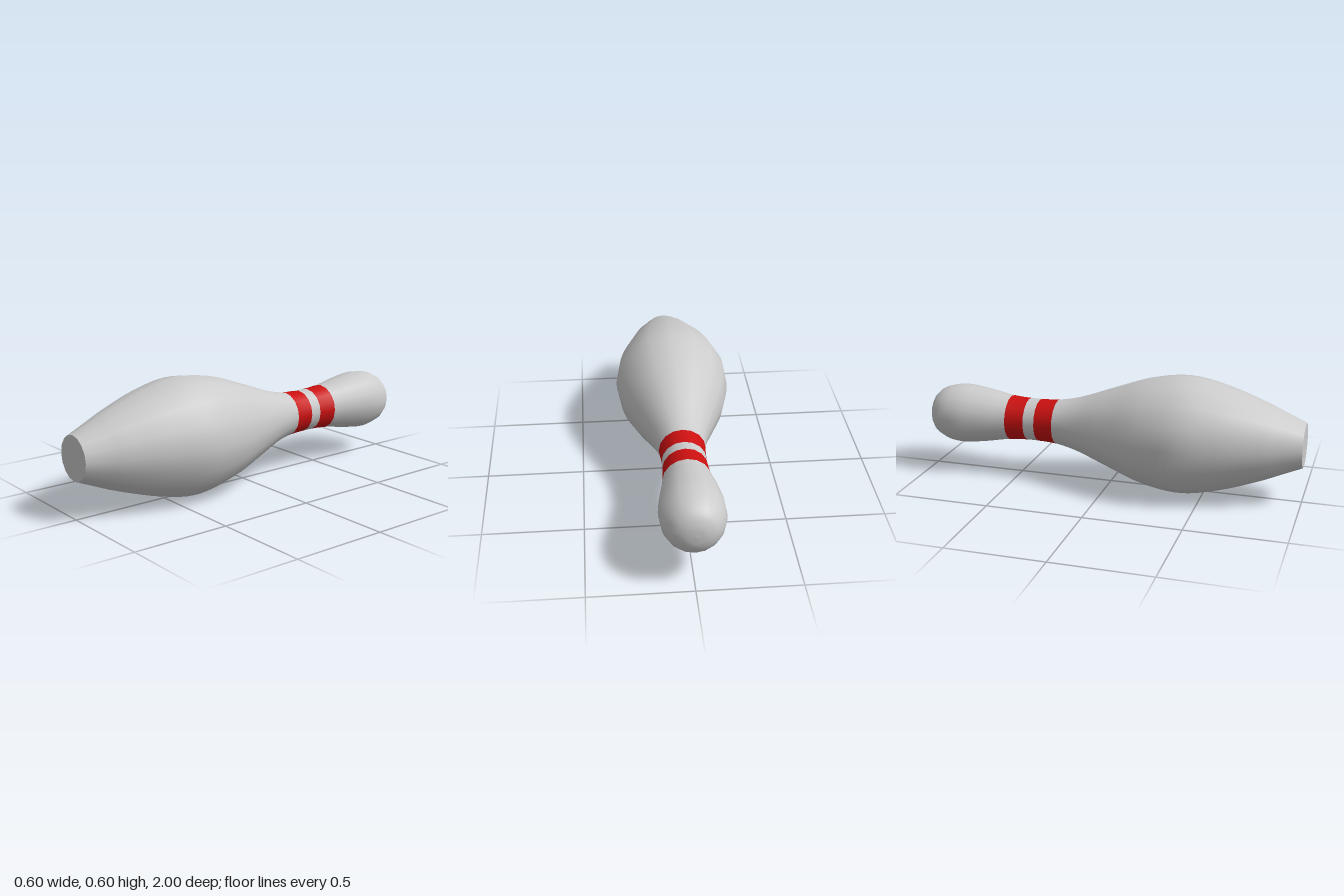
import * as THREE from 'three';

const SIDES = 16;
const RADIUS = 0.302;

// Profile knots: radius, distance along the axis from base (-1) to head (1)
const KNOTS = [
  [0.113, -1], [0.155, -0.9], [0.197, -0.8], [0.265, -0.6], [0.302, -0.4],
  [0.276, -0.2], [0.207, 0], [0.141, 0.18], [0.117, 0.29],
  [0.111, 0.39], [0.111, 0.45], [0.118, 0.55],
  [0.143, 0.69], [0.157, 0.82], [0.142, 0.91], [0.105, 0.967], [0.055, 0.993], [0, 1],
];

// Sections of the profile by knot index, with their colour
const SECTIONS = [
  ['body', 0, 8, 0xcccccc],
  ['lowerStripe', 8, 9, 0xcc1010],
  ['neck', 9, 10, 0xcccccc],
  ['upperStripe', 10, 11, 0xcc1010],
  ['head', 11, 17, 0xcccccc],
];

export function createModel() {
  const pin = new THREE.Group();
  pin.name = 'bowlingPin';

  const curve = new THREE.CatmullRomCurve3(KNOTS.map(([r, y]) => new THREE.Vector3(r, y, 0)));
  const last = KNOTS.length - 1;
  const steps = 5;

  const add = (name, geometry, color) => {
    const mesh = new THREE.Mesh(geometry, new THREE.MeshStandardMaterial({ color }));
    mesh.name = name;
    pin.add(mesh);
  };

  // Turned sections, laid down with the head towards the back
  for (const [name, from, to, color] of SECTIONS) {
    const points = [];
    for (let i = from * steps; i <= to * steps; i++) {
      const p = curve.getPoint(i / (last * steps));
      points.push(new THREE.Vector2(Math.max(p.x, 0), Math.min(p.y, 1)));
    }
    add(name, new THREE.LatheGeometry(points, SIDES).rotateX(-Math.PI / 2), color);
  }

  // Flat base facing the front
  add('base', new THREE.CircleGeometry(KNOTS[0][0], SIDES).translate(0, 0, 1), 0xcccccc);

  pin.position.y = RADIUS;
  return pin;
}
